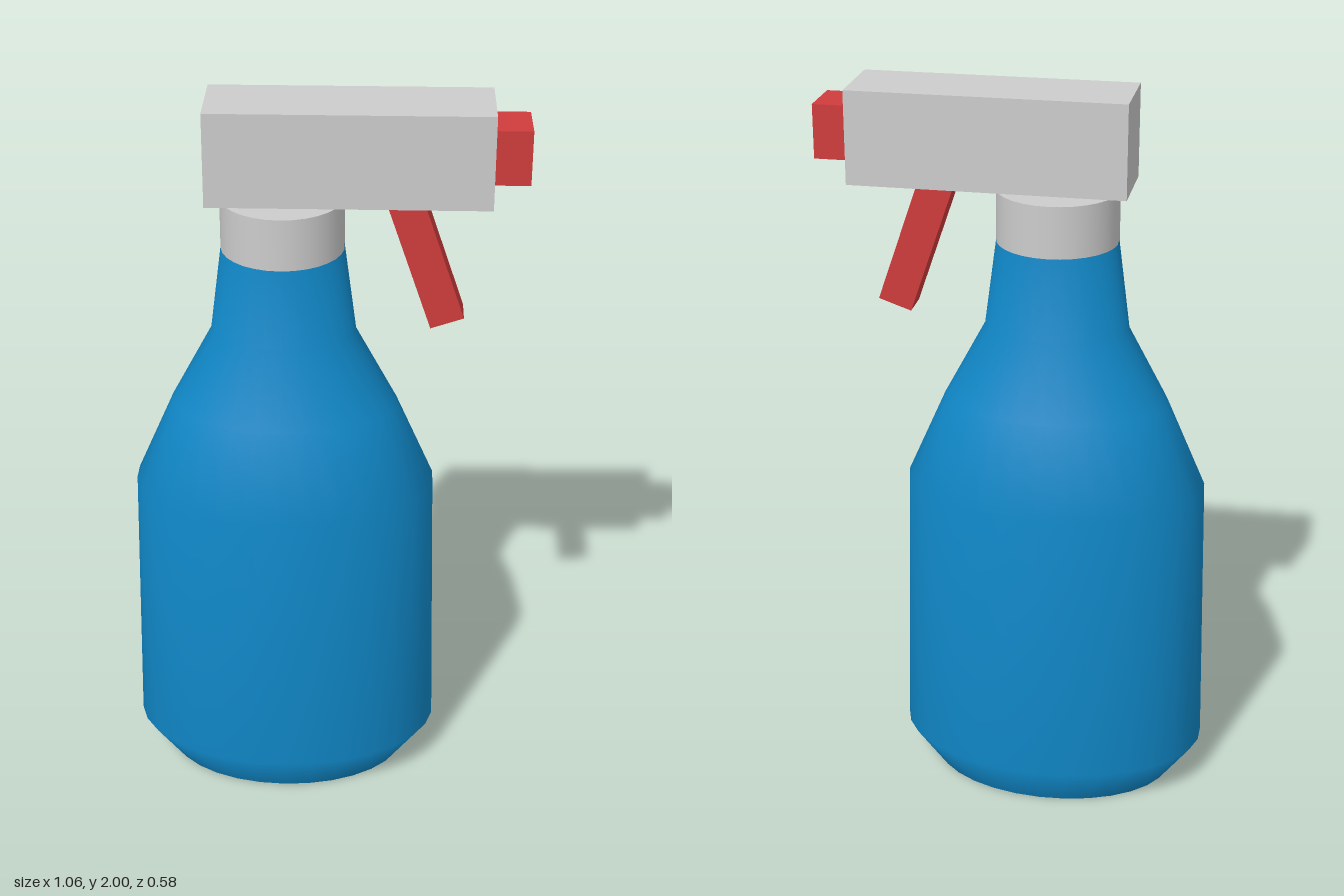
import * as THREE from 'three';

function material(name, color, side = THREE.FrontSide) {
  const m = new THREE.MeshStandardMaterial({ color, side });
  m.name = name;
  return m;
}

export function createModel() {
  const group = new THREE.Group();
  group.name = 'sprayBottle';

  const blue = material('bottleBlue', 0x1088c8, THREE.DoubleSide);
  const grey = material('headGrey', 0xcccccc);
  const red = material('triggerRed', 0xd03c3c);
  const axisX = -0.105;

  function add(name, geometry, mat, x, y, z = 0) {
    const mesh = new THREE.Mesh(geometry, mat);
    mesh.name = name;
    mesh.position.set(x, y, z);
    group.add(mesh);
    return mesh;
  }

  // Oval bottle: a lathe squashed in depth, open at the base
  const profile = [
    [0.34, 0], [0.43, 0.12], [0.412, 0.91], [0.307, 1.15], [0.195, 1.36], [0.163, 1.605],
  ].map(([r, y]) => new THREE.Vector2(r, y));
  const bottle = new THREE.LatheGeometry(profile, 30);
  bottle.scale(1, 1, 0.68);
  add('bottle', bottle, blue, axisX, 0);

  // Screw collar
  add('collar', new THREE.CylinderGeometry(0.163, 0.163, 0.14, 30), grey, axisX, 1.67);

  // Spray head and nozzle
  add('sprayHead', new THREE.BoxGeometry(0.736, 0.25, 0.22), grey, 0.068, 1.875);
  add('nozzle', new THREE.BoxGeometry(0.12, 0.145, 0.144), red, 0.47, 1.877);

  // Slanted trigger, its top end tucked into the head
  const tilt = 0.33;
  const length = 0.42;
  const trigger = add('trigger', new THREE.BoxGeometry(0.093, length, 0.09), red,
    0.33 - Math.sin(tilt) * length / 2, 1.403 + Math.cos(tilt) * length / 2);
  trigger.rotation.z = tilt;

  return group;
}
